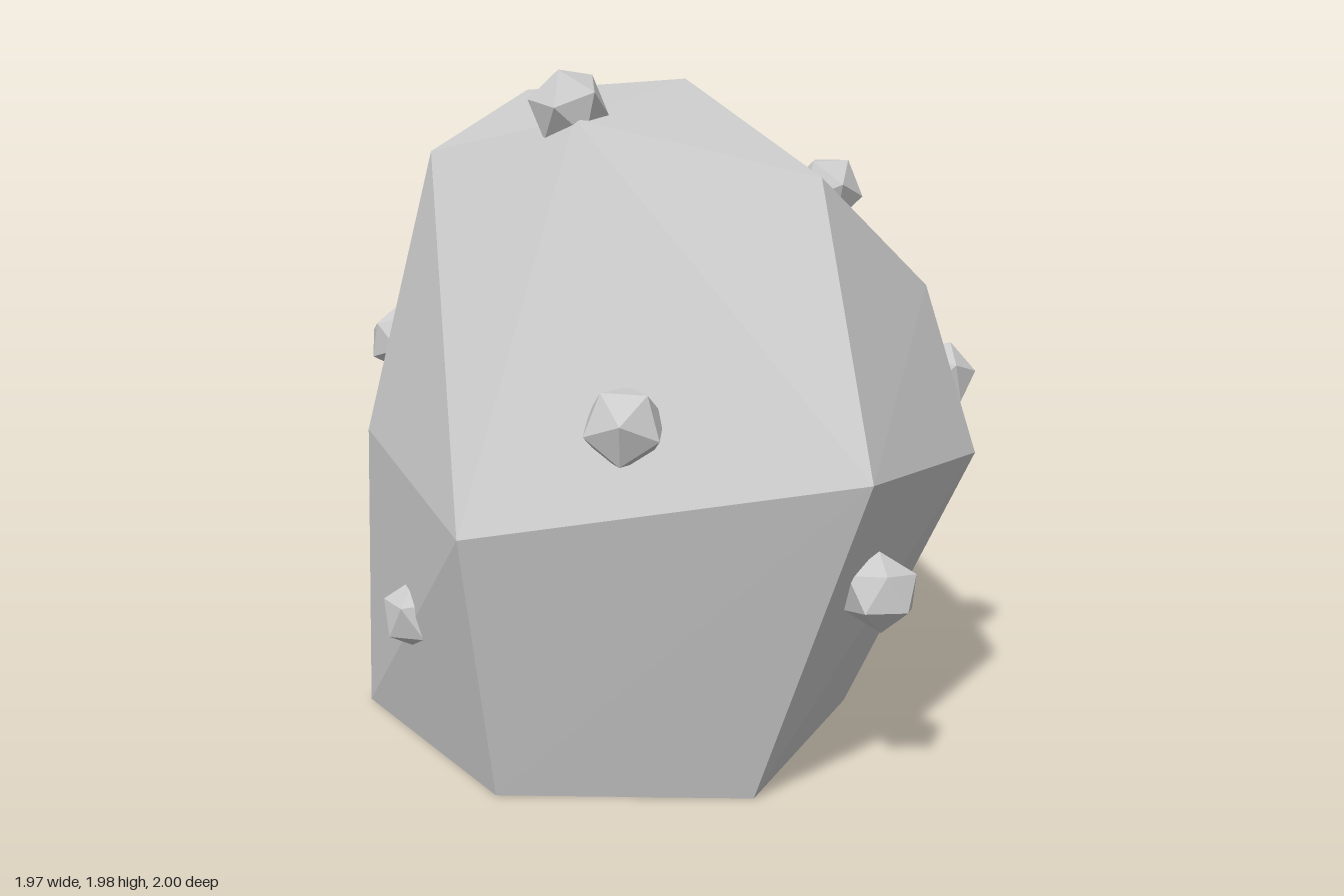
import * as THREE from 'three';
import { ConvexGeometry } from 'three/addons/geometries/ConvexGeometry.js';

const v = (p) => new THREE.Vector3(...p);

// Corners of the boulder: three seven-sided rings and a peak
const baseRing = [
  [-0.29, 0, 0.8], [0.42, 0, 0.68], [0.6, 0, -0.07], [0.26, 0, -0.6],
  [-0.3, 0, -0.73], [-0.83, 0, -0.45], [-0.87, 0, 0.21],
];
const middleRing = [
  [-0.325, 0.8, 0.99], [0.74, 0.97, 0.86], [0.98, 0.89, 0.16], [0.525, 0.735, -0.92],
  [-0.425, 0.945, -0.99], [-0.865, 1.17, -0.31], [-0.815, 0.905, 0.295],
];
const upperRing = [
  [-0.12, 1.855, 0.495], [0.55, 1.705, 0.45], [0.82, 1.36, 0.07], [0.47, 1.395, -0.77],
  [-0.15, 1.585, -0.895], [-0.49, 1.88, -0.38], [-0.6, 1.74, 0.28],
];
const peak = [0.06, 1.93, -0.2];

// Pebble knobs: x, y, z, radius
const knobs = [
  [0.09, 1.09, 0.845, 0.117],
  [-0.58, 0.435, 0.57, 0.108],
  [0.75, 0.615, 0.645, 0.11],
  [0.86, 1.05, -0.12, 0.11],
  [0.51, 1.615, -0.06, 0.11],
  [-0.155, 1.88, 0.42, 0.115],
  [-0.885, 1.08, -0.225, 0.11],
  [-0.43, 1.36, -0.75, 0.103],
  [-0.58, 0.79, -0.76, 0.1],
  [0.29, 0.815, -0.915, 0.1],
];

export function createModel() {
  const group = new THREE.Group();
  const stone = new THREE.MeshStandardMaterial({ color: 0xcccccc, flatShading: true });

  // Faceted boulder
  const corners = [...baseRing, ...middleRing, ...upperRing, peak].map(v);
  const boulder = new THREE.Mesh(new ConvexGeometry(corners), stone);
  boulder.name = 'boulder';
  group.add(boulder);

  // Icosahedral knobs, half sunk, each with a corner pointing outwards
  const knobGeometry = new THREE.IcosahedronGeometry(1, 0);
  const corner = new THREE.Vector3(0, 1, (1 + Math.sqrt(5)) / 2).normalize();
  const centre = new THREE.Vector3(0, 0.9, 0);
  knobs.forEach(([x, y, z, radius], i) => {
    const knob = new THREE.Mesh(knobGeometry, stone);
    knob.name = `knob${i + 1}`;
    knob.position.set(x, y, z);
    const outward = knob.position.clone().sub(centre).normalize();
    knob.quaternion.setFromUnitVectors(corner, outward);
    knob.scale.setScalar(radius);
    group.add(knob);
  });
  return group;
}
